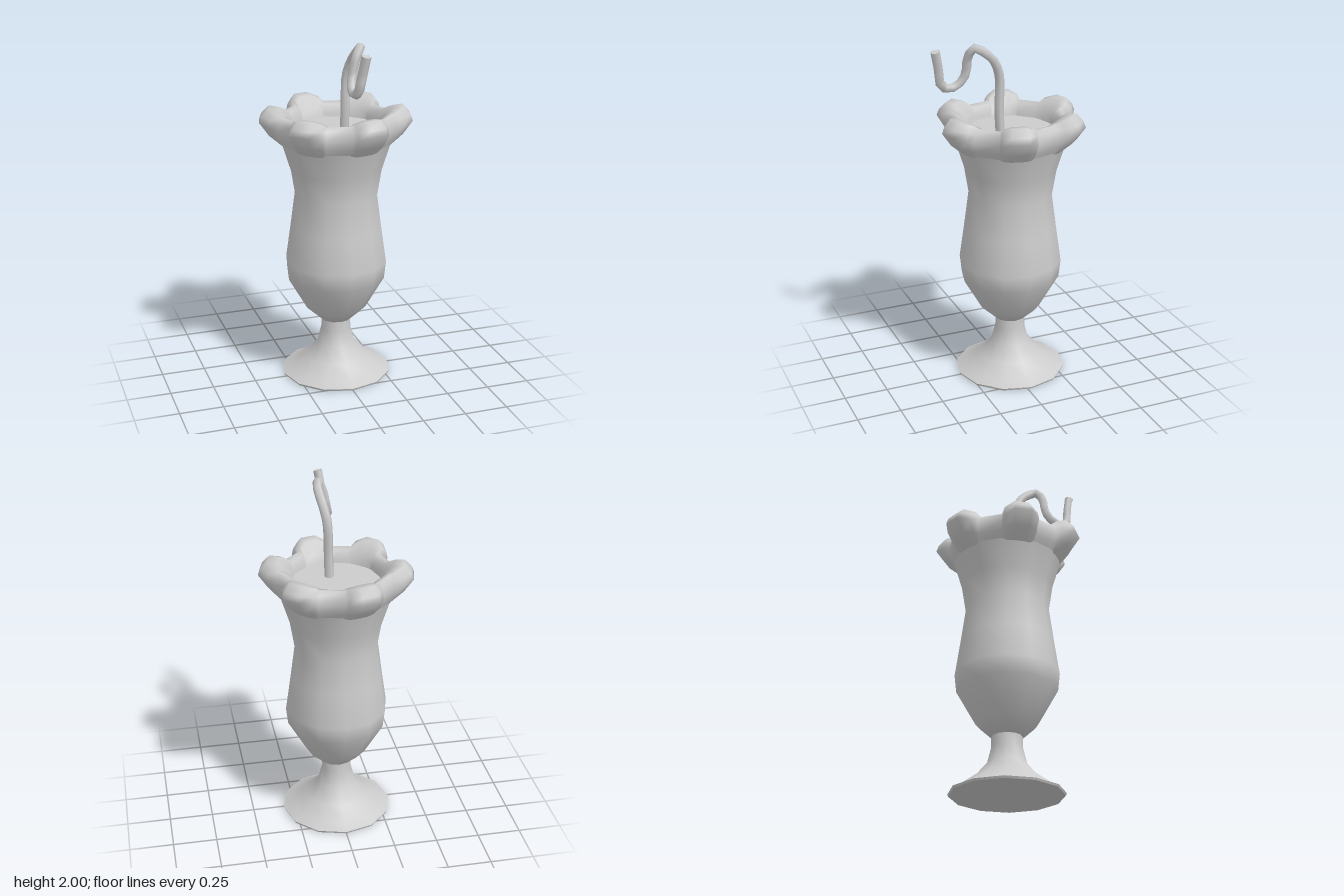
import * as THREE from 'three';
import { toCreasedNormals, mergeVertices } from 'three/addons/utils/BufferGeometryUtils.js';

const grey = new THREE.MeshStandardMaterial({ color: 0xcccccc, side: THREE.DoubleSide });
const V = (x, y, z) => new THREE.Vector3(x, y, z);

function add(parent, name, geometry) {
  const mesh = new THREE.Mesh(geometry, grey);
  mesh.name = name;
  parent.add(mesh);
  return mesh;
}

// Twelve-sided turned part from [radius, height] points
function turned(points, crease) {
  const g = new THREE.LatheGeometry(points.map(p => new THREE.Vector2(...p)), 12);
  return crease ? toCreasedNormals(g, crease) : g;
}

// Scalloped rim: the section swells from a plain roll to a round lobe six times around
function rimGeometry() {
  const roll = [[0.298, 1.39], [0.328, 1.44], [0.342, 1.49], [0.33, 1.54], [0.3, 1.562], [0.265, 1.55], [0.25, 1.5], [0.24, 1.45]];
  const lobe = [[0.305, 1.39], [0.375, 1.45], [0.428, 1.525], [0.415, 1.56], [0.375, 1.602], [0.32, 1.595], [0.255, 1.53], [0.24, 1.45]];
  const columns = [[-18, 0], [-15, 0.5], [-6.5, 1], [6.5, 1], [15, 0.5], [18, 0]];
  const pos = [], index = [];
  const n = roll.length, total = 6 * columns.length;
  for (let k = 0; k < 6; k++) {
    for (const [offset, swell] of columns) {
      const a = THREE.MathUtils.degToRad(15 + 60 * k + offset);
      for (let j = 0; j < n; j++) {
        const r = THREE.MathUtils.lerp(roll[j][0], lobe[j][0], swell);
        const y = THREE.MathUtils.lerp(roll[j][1], lobe[j][1], swell);
        pos.push(r * Math.cos(a), y, r * Math.sin(a));
      }
    }
  }
  for (let i = 0; i < total; i++) {
    for (let j = 0; j < n - 1; j++) {
      const a = i * n + j, b = ((i + 1) % total) * n + j;
      index.push(a, a + 1, b, b, a + 1, b + 1);
    }
  }
  const g = new THREE.BufferGeometry();
  g.setAttribute('position', new THREE.Float32BufferAttribute(pos, 3));
  g.setIndex(index);
  g.computeVertexNormals();
  return g;
}

export function createModel() {
  const model = new THREE.Group();
  model.name = 'sundaeGlass';

  const glass = new THREE.Group();
  glass.name = 'glass';
  glass.position.z = -0.02;
  model.add(glass);

  // Flared foot and stem
  add(glass, 'foot', turned([
    [0, 0], [0.315, 0], [0.32, 0.012], [0.27, 0.035], [0.18, 0.1],
    [0.11, 0.18], [0.087, 0.27], [0.086, 0.34],
  ], 0.9));

  // Bowl with a waist below the rim
  add(glass, 'bowl', turned([
    [0, 0.33], [0.09, 0.332], [0.175, 0.41], [0.283, 0.6], [0.294, 0.7],
    [0.265, 0.9], [0.238, 1.1], [0.262, 1.25], [0.312, 1.41],
  ]));

  add(glass, 'rim', rimGeometry());

  // Surface of the filling
  const filling = add(glass, 'filling', new THREE.CircleGeometry(0.25, 12));
  filling.rotation.x = -Math.PI / 2;
  filling.position.y = 1.48;

  // Bent straw with closed ends
  const path = new THREE.CatmullRomCurve3([
    V(0.025, 1.4, 0.045), V(0.028, 1.6, 0.057), V(0.035, 1.8, 0.058), V(0.053, 1.89, 0.095),
    V(0.066, 1.95, 0.16), V(0.06, 1.975, 0.21), V(0.03, 1.93, 0.235), V(0.003, 1.82, 0.243),
    V(-0.01, 1.765, 0.28), V(-0.012, 1.748, 0.34), V(-0.006, 1.78, 0.382),
    V(0.006, 1.86, 0.395), V(0.021, 1.967, 0.418),
  ]);
  const straw = new THREE.Group();
  straw.name = 'straw';
  model.add(straw);
  const tube = new THREE.TubeGeometry(path, 26, 0.026, 6);
  tube.deleteAttribute('uv');
  add(straw, 'strawTube', mergeVertices(tube));
  for (const t of [0, 1]) {
    const cap = add(straw, 'strawEnd', new THREE.CircleGeometry(0.026, 6));
    cap.position.copy(path.getPointAt(t));
    cap.quaternion.setFromUnitVectors(V(0, 0, 1), path.getTangentAt(t));
  }
  return model;
}
